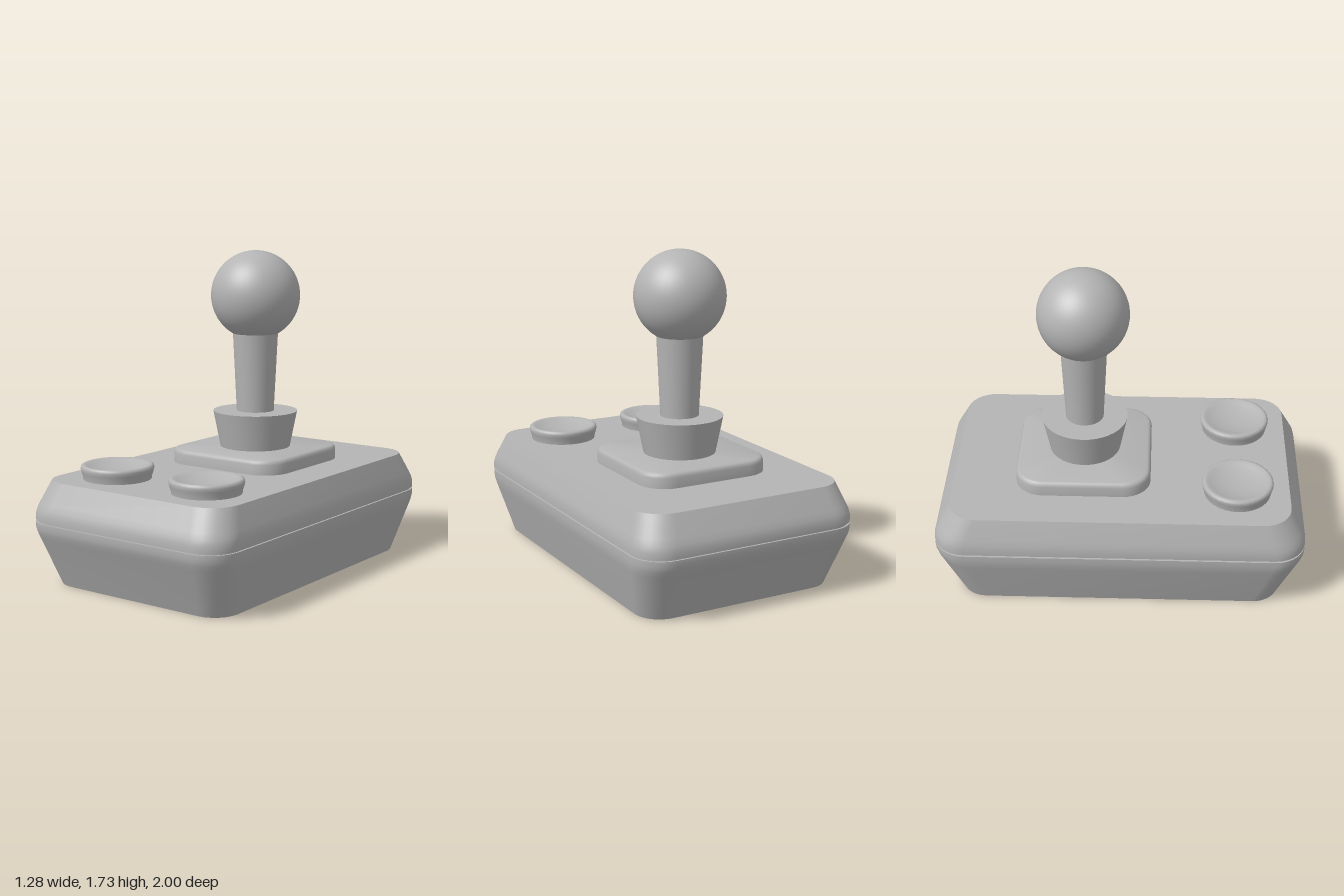
import * as THREE from 'three';
import { toCreasedNormals } from 'three/addons/utils/BufferGeometryUtils.js';

const STICK_Z = -0.205;

// Outline of a rounded rectangle in the xz plane
function roundedRect(hx, hz, r, steps = 8) {
  const pts = [];
  const corners = [[1, 1], [-1, 1], [-1, -1], [1, -1]];
  corners.forEach(([sx, sz], c) => {
    for (let i = 0; i <= steps; i++) {
      const a = (c + i / steps) * Math.PI / 2;
      pts.push([sx * (hx - r) + r * Math.cos(a), sz * (hz - r) + r * Math.sin(a)]);
    }
  });
  return pts;
}

// Closed solid through stacked rounded rectangles: [y, halfX, halfZ, radius]
function loft(sections, crease = 0.4) {
  const pos = [], index = [];
  const rings = sections.map(([y, hx, hz, r]) => roundedRect(hx, hz, r).map(([x, z]) => [x, y, z]));
  const n = rings[0].length;
  rings.forEach(ring => ring.forEach(p => pos.push(...p)));
  for (let k = 0; k < rings.length - 1; k++) {
    for (let i = 0; i < n; i++) {
      const a = k * n + i, b = k * n + (i + 1) % n;
      index.push(a, a + n, b, b, a + n, b + n);
    }
  }
  // End caps
  const last = rings.length - 1, bottom = pos.length / 3, top = bottom + 1;
  pos.push(0, sections[0][0], 0, 0, sections[last][0], 0);
  for (let i = 0; i < n; i++) {
    const j = (i + 1) % n;
    index.push(bottom, i, j, top, last * n + j, last * n + i);
  }
  const g = new THREE.BufferGeometry();
  g.setAttribute('position', new THREE.Float32BufferAttribute(pos, 3));
  g.setIndex(index);
  return toCreasedNormals(g, crease);
}

// Turned part from [radius, y] points, listed bottom to top
function turned(profile, segments = 40, crease = 0.6) {
  const g = new THREE.LatheGeometry(profile.map(p => new THREE.Vector2(...p)), segments);
  return toCreasedNormals(g, crease);
}

export function createModel() {
  const model = new THREE.Group();
  const grey = new THREE.MeshStandardMaterial({ color: 0xb4b4b4 });
  grey.name = 'grey plastic';

  const add = (name, geometry, x = 0, y = 0, z = 0) => {
    const mesh = new THREE.Mesh(geometry, grey);
    mesh.name = name;
    mesh.position.set(x, y, z);
    model.add(mesh);
  };

  // Case halves, with a narrow seam between them
  add('lowerCase', loft([
    [0, 0.56, 0.873, 0.14],
    [0.26, 0.628, 0.978, 0.165],
    [0.29, 0.635, 0.992, 0.17],
    [0.32, 0.638, 1, 0.17],
    [0.349, 0.638, 1, 0.17],
  ]));
  add('seam', loft([[0.34, 0.627, 0.989, 0.16], [0.37, 0.627, 0.989, 0.16]]));
  add('upperCase', loft([
    [0.36, 0.638, 1, 0.17],
    [0.39, 0.638, 1, 0.17],
    [0.42, 0.633, 0.992, 0.17],
    [0.45, 0.624, 0.977, 0.168],
    [0.56, 0.586, 0.918, 0.155],
  ]));

  // Raised square plate under the stick
  add('stickPlate', loft([
    [0.55, 0.367, 0.367, 0.15],
    [0.615, 0.367, 0.367, 0.15],
    [0.628, 0.363, 0.363, 0.146],
    [0.636, 0.356, 0.356, 0.139],
    [0.64, 0.345, 0.345, 0.128],
  ], 0.6), 0, 0, STICK_Z);

  // Stick: flared collar, tapered shaft and ball
  add('collar', turned([[0, 0.63], [0.193, 0.63], [0.235, 0.84], [0, 0.84]]), 0, 0, STICK_Z);
  add('shaft', turned([[0.103, 0.83], [0.125, 1.275]]), 0, 0, STICK_Z);
  add('ball', new THREE.SphereGeometry(0.246, 48, 32), 0, 1.483, STICK_Z);

  // Pair of dished fire buttons
  const button = turned([
    [0.18, 0.55], [0.182, 0.575], [0.19, 0.6], [0.194, 0.618], [0.191, 0.63], [0.181, 0.636],
    [0.168, 0.634], [0.15, 0.626], [0.11, 0.613], [0.06, 0.605], [0, 0.602],
  ], 32, 0.8);
  for (const side of [1, -1]) {
    add(side > 0 ? 'leftButton' : 'rightButton', button, side * 0.295, 0, 0.633);
  }

  return model;
}
